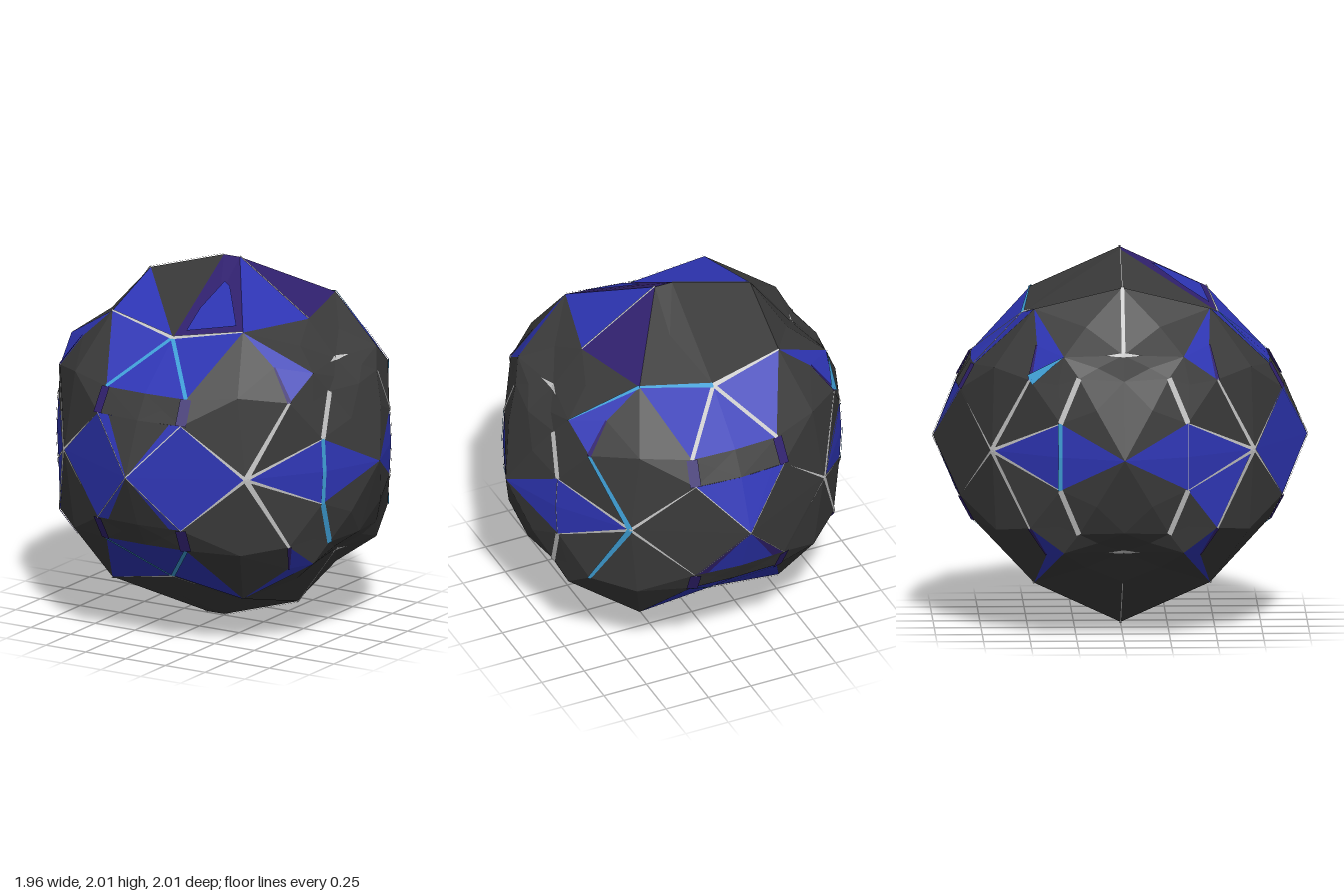
import * as THREE from 'three';

const mat = (name, color) => {
  const m = new THREE.MeshStandardMaterial({ color, side: THREE.DoubleSide });
  m.name = name;
  return m;
};

// Corner points of one octant, measured from the ball's centre
const P = {
  F: [0, 0, 1], A: [0.26, 0.29, 0.86], G: [0.25, 0.42, 0.79], M: [0, 0.42, 0.8],
  H: [0, 0.29, 0.88], K: [0.19, 0.29, 0.867], B: [0, 0.66, 0.52], C: [0.41, 0.74, 0.47],
  V: [0.57, 0, 0.7], D: [0.72, 0.4, 0.5], E: [0.76, 0.53, 0.32], J: [0.6, 0.57, 0.46],
  j: [0.66, 0.55, 0.41], P: [0.83, 0.18, 0.34], p: [0.84, 0, 0.34], Q: [0.81, 0.42, 0.24],
  R: [0.98, 0, 0], N: [0.85, 0.41, 0], W: [0.7, 0.53, 0], w: [0.725, 0.53, 0.1],
  T: [0, 1, 0], t: [0.1, 1, 0], X: [0.53, 0.72, 0], S: [0.46, 0.86, 0],
};

export function createModel() {
  const mats = {
    dark: mat('charcoal', 0x3b3b3b),
    blue: mat('royal blue', 0x2e35b4),
    purple: mat('deep purple', 0x31216f),
    cyan: mat('sky blue', 0x3f9fd6),
    white: mat('light grey', 0xc4c4c4),
  };
  const parts = new Map();

  // Add one triangle, wound so that it faces away from the centre
  const tri = (name, color, a, b, c) => {
    const key = name + '|' + color;
    if (!parts.has(key)) parts.set(key, []);
    const n = b.clone().sub(a).cross(c.clone().sub(a));
    const out = n.dot(a.clone().add(b).add(c)) >= 0;
    for (const v of out ? [a, b, c] : [a, c, b]) parts.get(key).push(v.x, v.y, v.z);
  };

  for (const sx of [1, -1]) for (const sy of [1, -1]) for (const sz of [1, -1]) {
    const pt = (k) => new THREE.Vector3(P[k][0] * sx, P[k][1] * sy, P[k][2] * sz);

    // Panel: a triangle, or a fan about its middle, which may bulge outwards
    const panel = (name, color, keys, bulge = 1) => {
      const v = [...keys].map(pt);
      if (v.length === 3) return tri(name, color, ...v);
      const mid = new THREE.Vector3();
      v.forEach((p) => mid.add(p));
      mid.multiplyScalar(bulge / v.length);
      v.forEach((p, i) => tri(name, color, mid, p, v[(i + 1) % v.length]));
    };

    // Seam: a thin tapering strip just above an edge
    const seam = (color, from, to, w0, w1 = w0) => {
      const a = pt(from).multiplyScalar(1.006), b = pt(to).multiplyScalar(1.006);
      const side = b.clone().sub(a).cross(a.clone().add(b)).normalize();
      const q = [[a, w0], [a, -w0], [b, w1], [b, -w1]].map(([p, w]) => p.clone().addScaledVector(side, w / 2));
      tri('seam', color, q[0], q[1], q[2]);
      tri('seam', color, q[1], q[3], q[2]);
    };

    const right = sx < 0, front = sz > 0, upper = sy > 0;
    const backLeft = !right && !front;

    // Front and back panels
    panel('waistPanel', front ? 'blue' : 'dark', 'FAV');
    panel('facePanel', front ? 'dark' : 'blue', 'FKH');
    panel('faceEdge', front || upper ? 'blue' : 'purple', 'FAK');
    panel('faceBand', 'dark', 'HAGM');
    panel('browPanel', 'blue', 'MGB');
    panel('browWing', 'blue', 'GCB');

    // Large corner plate with a rounded edge, and the wedge beside it
    const edge = upper ? 'J' : 'j';
    const wedge = backLeft && !upper ? 'dark' : 'blue';
    panel('cornerPlate', 'dark', `AVD${edge}CG`, 1.09);
    panel('cornerWedge', wedge, `C${edge}E`);
    panel('cornerWedge', wedge, `${edge}DE`);

    // Side panels
    panel('sideDiamond', 'blue', 'VPp');
    panel('sideDiamond', 'blue', 'pPR');
    panel('sidePanel', 'dark', 'RPQN', 1.03);
    panel('sideGusset', right && !upper && front ? 'blue' : 'dark', 'VPD');
    panel('sideGusset', 'dark', 'PQED');
    panel('sideLens', 'dark', 'NQEW');

    // Caps at the top and bottom, one a half turn of the other
    if (sx * sy < 0) {
      panel('capPanel', 'dark', 'TSB');
      panel('capWing', upper && !front ? 'dark' : 'blue', 'SCB');
      panel('capSkirt', 'dark', 'WECS');
      seam('white', 'S', 'W', 0.02);
      seam('white', 'T', 'S', 0.008);
    } else {
      const lit = upper && front;
      panel('capPanel', lit ? 'purple' : 'dark', 'TtCB');
      panel('capWing', !upper ? 'dark' : front ? 'blue' : 'purple', 'tXC');
      panel('capSkirt', 'dark', 'WECX');
      seam('white', 't', 'X', 0.01);
      if (lit) {
        // Brighter patch inside the purple cap panel
        const patch = [[0.11, 0.17], [0.16, 0.2], [0.35, 0.44], [0.06, 0.48], [0.06, 0.34]]
          .map(([x, z]) => new THREE.Vector3(x, 1.008 + 0.115 * x - 0.654 * z, z));
        for (let i = 1; i < 4; i++) tri('capPatch', 'blue', patch[0], patch[i], patch[i + 1]);
      }
    }

    // Light seams around the star points
    seam(backLeft ? 'cyan' : 'white', 'V', 'D', 0.032, 0.018);
    seam('white', 'V', 'P', 0.018, 0.005);
    seam('white', 'V', 'A', 0.018, 0.003);
    seam('white', 'F', 'A', 0.006);
    seam(!right && front && !upper ? 'cyan' : 'white', 'P', 'Q', 0.03);
    seam(backLeft && upper ? 'cyan' : 'white', 'B', 'C', front ? 0.022 : 0.028, 0.01);
    seam(!front && upper ? 'white' : 'cyan', 'B', 'G', 0.022);
    if (sx * sz > 0) seam('cyan', 'P', 'p', 0.024);
    else seam('white', 'P', 'p', 0.005);
    seam('purple', 'A', 'G', 0.06);
    if (wedge === 'blue') seam('purple', 'D', edge, 0.025, 0.01);
    seam('white', 'W', 'w', 0.03, 0.004);
    if (upper && !front) {
      if (right) seam('cyan', 'D', 'E', 0.07, 0);
      else seam('cyan', 'C', 'E', 0.02, 0.005);
    }
  }

  const group = new THREE.Group();
  group.name = 'panelledBall';
  for (const [key, data] of parts) {
    const [name, color] = key.split('|');
    const geo = new THREE.BufferGeometry();
    geo.setAttribute('position', new THREE.Float32BufferAttribute(data, 3));
    geo.translate(0, 1, 0);
    geo.computeVertexNormals();
    const mesh = new THREE.Mesh(geo, mats[color]);
    mesh.name = name;
    group.add(mesh);
  }
  return group;
}
